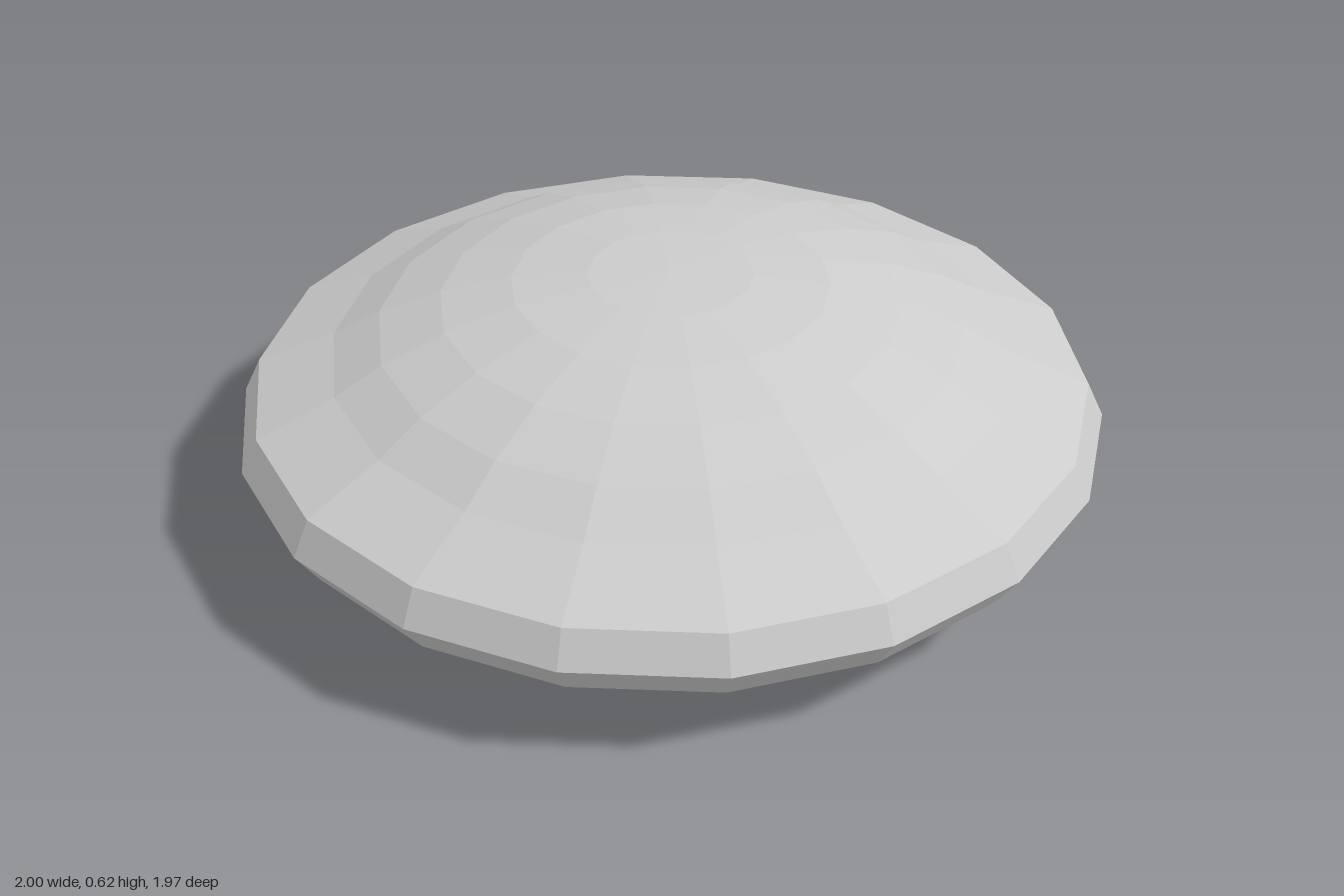
import * as THREE from 'three';

const SIDES = 18;

// Faceted body of revolution with a vertex on the +x axis; profile runs bottom to top
function turned(name, profile, material) {
  const points = profile.map(([r, y]) => new THREE.Vector2(r, y));
  const mesh = new THREE.Mesh(new THREE.LatheGeometry(points, SIDES, Math.PI / 2), material);
  mesh.name = name;
  return mesh;
}

export function createModel() {
  const model = new THREE.Group();
  model.name = 'mushroomDisc';
  const grey = new THREE.MeshStandardMaterial({ color: 0xcccccc, flatShading: true });

  // Flared foot, closed at the bottom and reaching up into the hollow underside
  model.add(turned('foot', [[0, 0], [0.29, 0], [0.49, 0.297]], grey));

  // Sloping hollow underside
  model.add(turned('underside', [[0.49, 0.297], [0.943, 0.178]], grey));

  // Bevelled rim
  model.add(turned('rim', [[0.943, 0.178], [1, 0.263], [0.961, 0.346]], grey));

  // Shallow dome
  model.add(turned('dome', [
    [0.961, 0.346], [0.78, 0.424], [0.67, 0.488], [0.525, 0.547],
    [0.362, 0.59], [0.188, 0.613], [0, 0.62],
  ], grey));

  return model;
}
